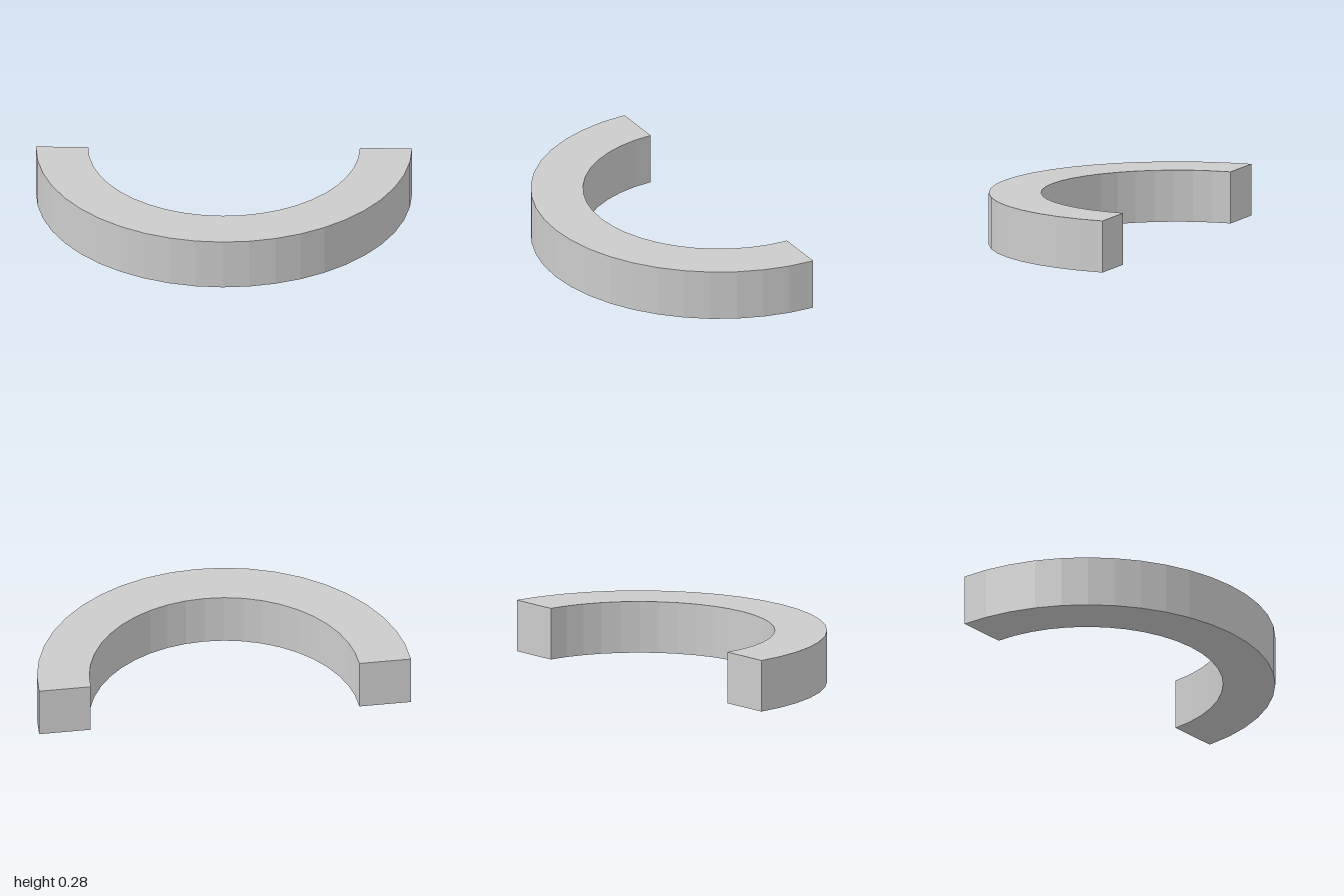
import * as THREE from 'three';

const OUTER = 1, INNER = 0.722, HEIGHT = 0.278, SEGMENTS = 22;

// Points along a half circle, from +x round to -x
function halfCircle(radius) {
  return Array.from({ length: SEGMENTS + 1 }, (_, i) => {
    const a = (i / SEGMENTS) * Math.PI;
    return new THREE.Vector2(Math.cos(a) * radius, Math.sin(a) * radius);
  });
}

export function createModel() {
  const group = new THREE.Group();
  group.name = 'halfRing';

  // Half ring outline: outer arc out, inner arc back
  const outline = new THREE.Shape([...halfCircle(OUTER), ...halfCircle(INNER).reverse()]);
  const geometry = new THREE.ExtrudeGeometry(outline, { depth: HEIGHT, bevelEnabled: false });

  // Lay flat with the curve towards the front and the open ends at the back
  geometry.rotateX(Math.PI / 2);
  geometry.translate(0, HEIGHT, -OUTER / 2);

  const arch = new THREE.Mesh(
    geometry,
    new THREE.MeshStandardMaterial({ color: 0xcccccc, flatShading: true })
  );
  arch.name = 'curvedBlock';
  group.add(arch);
  return group;
}
